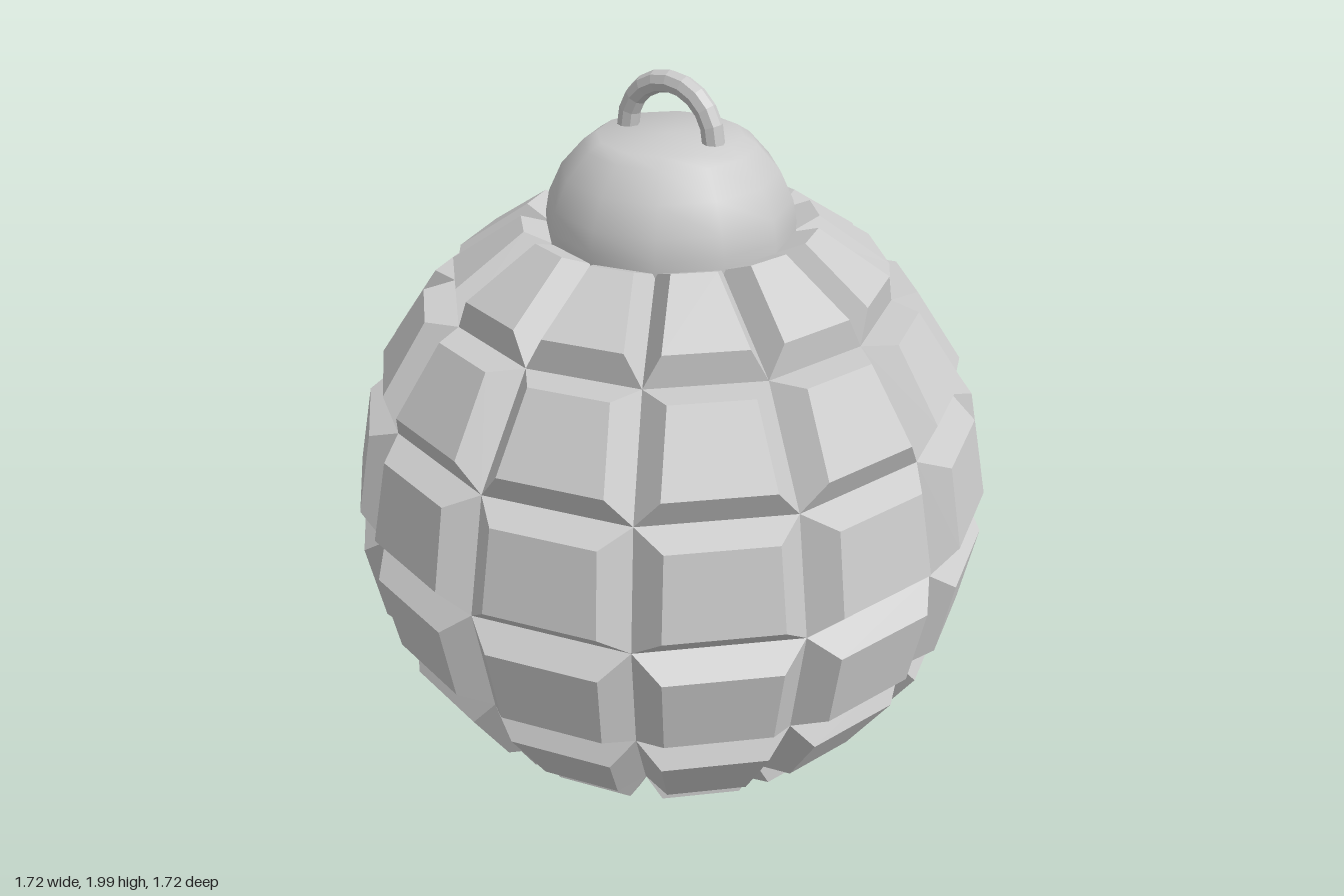
import * as THREE from 'three';
import { toCreasedNormals } from 'three/addons/utils/BufferGeometryUtils.js';

const R = 0.82, CENTER_Y = 0.83, SECTORS = 12, RINGS = 8;
const INSET = 0.7, RAISE = 0.07;

// Point on the faceted core sphere; ring 0 is the bottom pole
function corePoint(ring, sector) {
  const lat = (ring / RINGS - 0.5) * Math.PI;
  const lon = (sector / SECTORS) * Math.PI * 2;
  return new THREE.Vector3(
    R * Math.cos(lat) * Math.sin(lon),
    CENTER_Y + R * Math.sin(lat),
    R * Math.cos(lat) * Math.cos(lon)
  );
}

function geometryFrom(points) {
  const geo = new THREE.BufferGeometry().setFromPoints(points);
  geo.computeVertexNormals();
  return geo;
}

// One ring of raised, bevelled panels around the body
function panelRing(ring) {
  const points = [];
  const quad = (a, b, c, d) => points.push(a, b, c, a, c, d);
  for (let s = 0; s < SECTORS; s++) {
    const base = [
      corePoint(ring, s), corePoint(ring, s + 1),
      corePoint(ring + 1, s + 1), corePoint(ring + 1, s)
    ];
    const mid = new THREE.Vector3();
    base.forEach(p => mid.addScaledVector(p, 0.25));
    const normal = base[1].clone().sub(base[0])
      .cross(base[3].clone().sub(base[0])).normalize();
    const top = base.map(p => mid.clone().lerp(p, INSET).addScaledVector(normal, RAISE));
    quad(...top);
    for (let i = 0; i < 4; i++) {
      const j = (i + 1) % 4;
      quad(base[i], base[j], top[j], top[i]);
    }
  }
  return geometryFrom(points);
}

// Shallow fan of triangles closing a pole
function poleFan(bottom) {
  const points = [];
  const pole = corePoint(bottom ? 0 : RINGS, 0);
  const ring = bottom ? 1 : RINGS - 1;
  for (let s = 0; s < SECTORS; s++) {
    const a = corePoint(ring, s), b = corePoint(ring, s + 1);
    points.push(pole, ...(bottom ? [b, a] : [a, b]));
  }
  return geometryFrom(points);
}

export function createModel() {
  const model = new THREE.Group();
  const flat = new THREE.MeshStandardMaterial({ color: 0xcccccc, flatShading: true });
  const smooth = new THREE.MeshStandardMaterial({ color: 0xcccccc });
  const add = (name, geo, mat, parent = model) => {
    const mesh = new THREE.Mesh(geo, mat);
    mesh.name = name;
    parent.add(mesh);
    return mesh;
  };

  // Segmented body
  const body = new THREE.Group();
  body.name = 'body';
  model.add(body);
  for (let r = 1; r < RINGS - 1; r++) add(`panelRing${r}`, panelRing(r), flat, body);
  add('bottomPole', poleFan(true), flat, body);
  add('topPole', poleFan(false), flat, body);

  // Domed cap with a flat top
  const profile = [
    [0, 1.57], [0.325, 1.57], [0.325, 1.62], [0.315, 1.675], [0.28, 1.75],
    [0.222, 1.815], [0.187, 1.838], [0, 1.84]
  ].map(([x, y]) => new THREE.Vector2(x, y));
  add('cap', toCreasedNormals(new THREE.LatheGeometry(profile, 12), 0.75), smooth);

  // Hanging loop, lower half sunk into the cap
  const loop = add('hangingLoop', new THREE.TorusGeometry(0.133, 0.029, 8, 20), flat);
  loop.position.y = 1.838;

  return model;
}
